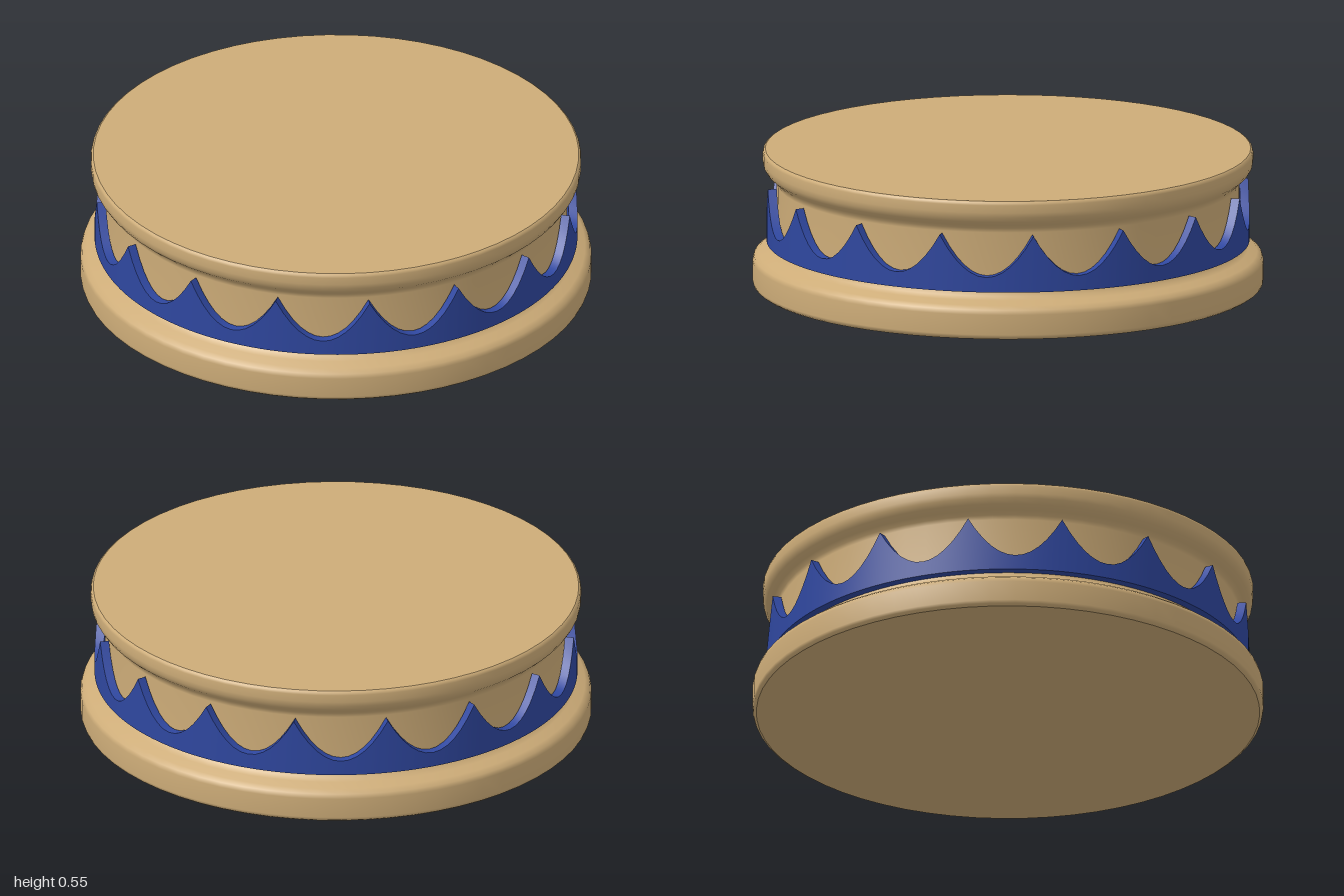
import * as THREE from 'three';
import { toCreasedNormals } from 'three/addons/utils/BufferGeometryUtils.js';

const SEGMENTS = 64;

// Closed ring whose top edge rises to evenly spaced points with rounded valleys between
function crownGeometry({ inner, outer, bottom, valley, peak, points, steps }) {
  const columns = points * steps;
  const positions = [];
  const indices = [];
  for (let i = 0; i < columns; i++) {
    const angle = (i / columns) * Math.PI * 2;
    const u = Math.abs(1 - 2 * ((i % steps) / steps)); // 1 at a point, 0 in a valley
    const top = valley + (peak - valley) * u * u;
    const section = [[outer, bottom], [outer, top], [inner, top], [inner, bottom]];
    for (const [r, y] of section) positions.push(r * Math.sin(angle), y, r * Math.cos(angle));
    const a = i * 4;
    const b = ((i + 1) % columns) * 4;
    for (let k = 0; k < 4; k++) {
      const n = (k + 1) % 4;
      indices.push(a + k, b + k, b + n, a + k, b + n, a + n);
    }
  }
  const geometry = new THREE.BufferGeometry();
  geometry.setAttribute('position', new THREE.Float32BufferAttribute(positions, 3));
  geometry.setIndex(indices);
  return toCreasedNormals(geometry, 0.5);
}

export function createModel() {
  const model = new THREE.Group();
  model.name = 'pedestal';

  const tan = new THREE.MeshStandardMaterial({ color: 0xcdac78 });
  tan.name = 'tan';
  const blue = new THREE.MeshStandardMaterial({ color: 0x2f479f });
  blue.name = 'blue';

  const add = (name, geometry, material) => {
    const mesh = new THREE.Mesh(geometry, material);
    mesh.name = name;
    model.add(mesh);
    return mesh;
  };

  // Turned side: wide foot, straight waist and flared upper rim
  const profile = [
    [0.985, 0], [0.996, 0.008], [1, 0.02], [1, 0.1], [0.994, 0.118], [0.975, 0.132],
    [0.94, 0.145], [0.92, 0.158], [0.908, 0.178], [0.905, 0.2],
    [0.905, 0.41], [0.91, 0.428], [0.925, 0.442], [0.945, 0.46], [0.957, 0.48],
    [0.96, 0.5], [0.96, 0.53], [0.957, 0.54], [0.95, 0.545],
  ].map(([r, y]) => new THREE.Vector2(r, y));
  add('body', new THREE.LatheGeometry(profile, SEGMENTS), tan);

  // Flat caps
  const top = add('topFace', new THREE.CircleGeometry(0.95, SEGMENTS), tan);
  top.rotation.x = -Math.PI / 2;
  top.position.y = 0.545;
  const base = add('bottomFace', new THREE.CircleGeometry(0.985, SEGMENTS), tan);
  base.rotation.x = Math.PI / 2;

  // Pointed band around the waist
  add('crownBand', crownGeometry({
    inner: 0.91, outer: 0.945, bottom: 0.178, valley: 0.238, peak: 0.402, points: 16, steps: 12,
  }), blue);

  return model;
}
